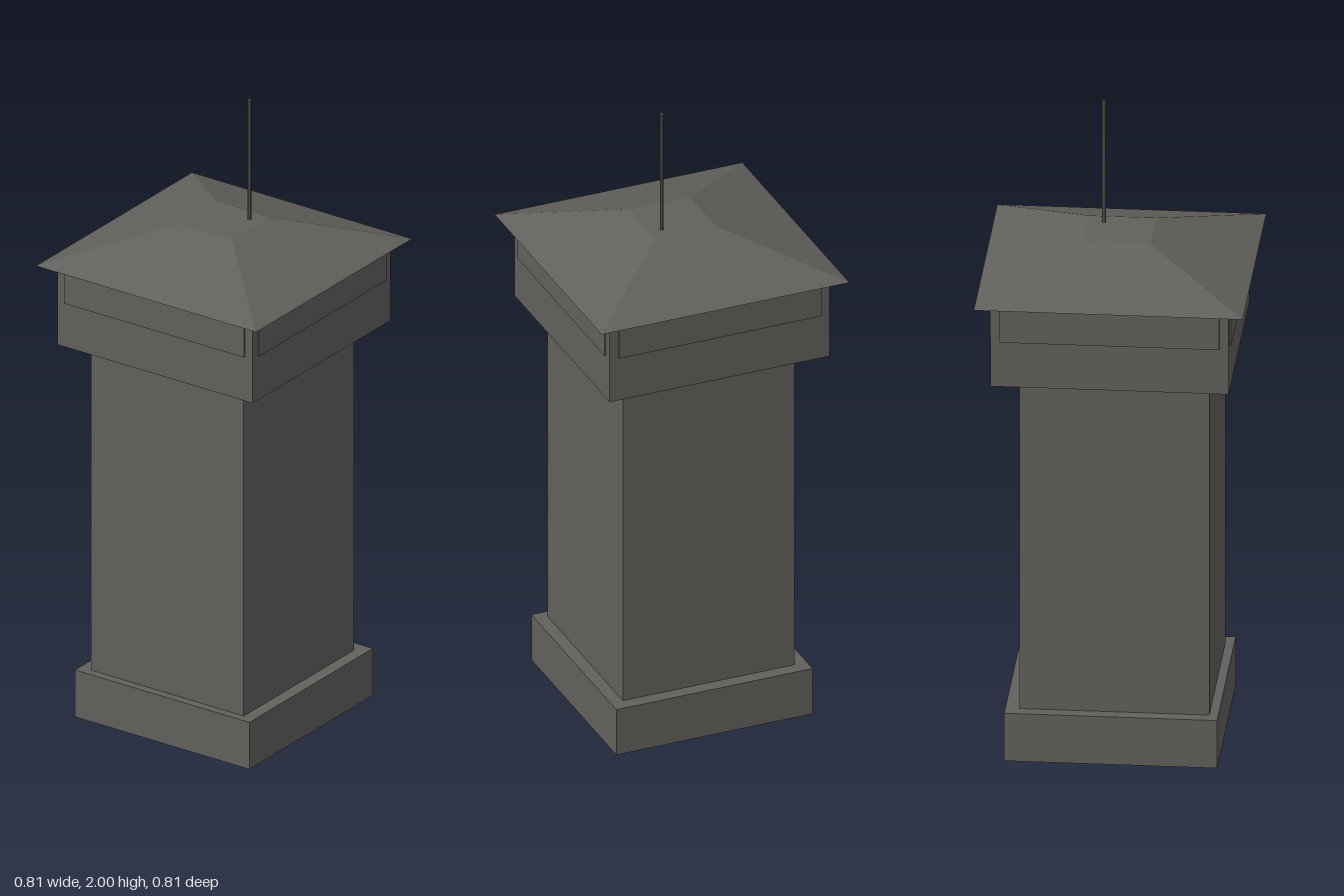
import * as THREE from 'three';

const material = new THREE.MeshStandardMaterial({ color: 0x62605c, flatShading: true });

function addPart(group, name, geometry, x, y, z) {
  const mesh = new THREE.Mesh(geometry, material);
  mesh.name = name;
  mesh.position.set(x, y, z);
  group.add(mesh);
  return mesh;
}

// Box given by its width, depth and the heights of its bottom and top
function addBlock(group, name, width, depth, bottom, top, z = 0) {
  return addPart(group, name, new THREE.BoxGeometry(width, top - bottom, depth), 0, (bottom + top) / 2, z);
}

export function createModel() {
  const model = new THREE.Group();
  model.name = 'kiosk';

  // Plinth, shaft and wider head
  addBlock(model, 'plinth', 0.64, 0.64, 0, 0.155);
  addBlock(model, 'shaft', 0.56, 0.57, 0.155, 1.235, 0.008);
  addBlock(model, 'head', 0.716, 0.716, 1.235, 1.5);

  // Thin panel on each side of the head, tucked under the eaves
  for (let i = 0; i < 4; i++) {
    const angle = (i * Math.PI) / 2;
    const panel = addPart(model, 'headPanel', new THREE.BoxGeometry(0.66, 0.115, 0.01),
      Math.sin(angle) * 0.358, 1.438, Math.cos(angle) * 0.358);
    panel.rotation.y = angle;
  }

  // Truncated pyramid roof with overhanging eaves
  const roof = new THREE.CylinderGeometry(0.1 * Math.SQRT2, 0.404 * Math.SQRT2, 0.105, 4);
  roof.rotateY(Math.PI / 4);
  addPart(model, 'roof', roof, 0, 1.5525, 0);

  // Off-centre mast on the flat top
  addPart(model, 'mast', new THREE.CylinderGeometry(0.006, 0.006, 0.4, 8), 0.056, 1.8, -0.053);

  return model;
}
